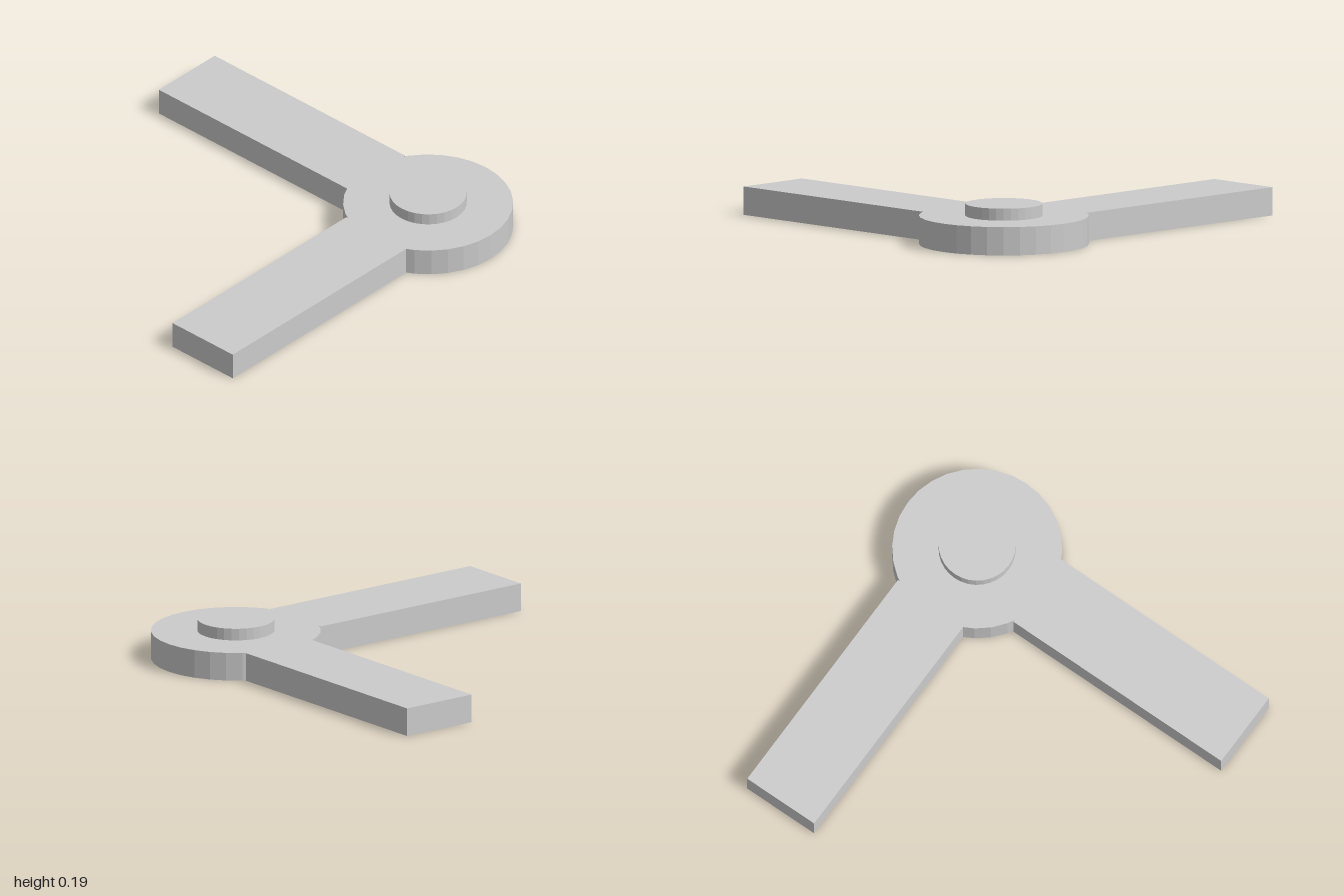
import * as THREE from 'three';

const SEGMENTS = 32;
const HUB = { x: 0.593, z: -0.587, radius: 0.407 };
const KNOB_RADIUS = 0.185;
const DECK = 0.137; // height of arms and hub
const TOP = 0.195; // height of the knob

// Box faces in the order three.js builds them
const FACES = { right: 0, left: 1, top: 2, bottom: 3, front: 4, back: 5 };

// Box shell with the named faces left open
function openBox(min, max, openFaces) {
  const size = max.map((v, i) => v - min[i]);
  const geometry = new THREE.BoxGeometry(...size);
  const open = openFaces.map((name) => FACES[name]);
  const index = Array.from(geometry.index.array);
  geometry.setIndex(index.filter((_, i) => !open.includes(Math.floor(i / 6))));
  geometry.clearGroups();
  geometry.translate(...min.map((v, i) => v + size[i] / 2));
  return geometry;
}

export function createModel() {
  const group = new THREE.Group();
  const material = new THREE.MeshStandardMaterial({
    color: 0xcccccc, flatShading: true, side: THREE.DoubleSide,
  });

  function add(name, geometry, x = 0, y = 0, z = 0) {
    const mesh = new THREE.Mesh(geometry, material);
    mesh.name = name;
    mesh.position.set(x, y, z);
    group.add(mesh);
  }

  // Round wall, open at both ends
  function addWall(name, radius, bottom, top) {
    const height = top - bottom;
    const wall = new THREE.CylinderGeometry(radius, radius, height, SEGMENTS, 1, true);
    add(name, wall, HUB.x, bottom + height / 2, HUB.z);
  }

  // Hub: thin wall and a deck with an opening below the knob
  addWall('hubWall', HUB.radius, 0, DECK);
  const deck = new THREE.RingGeometry(KNOB_RADIUS, HUB.radius, SEGMENTS).rotateX(-Math.PI / 2);
  add('hubDeck', deck, HUB.x, DECK, HUB.z);

  // Knob: hollow raised cap
  addWall('knobWall', KNOB_RADIUS, DECK, TOP);
  const cap = new THREE.CircleGeometry(KNOB_RADIUS, SEGMENTS).rotateX(-Math.PI / 2);
  add('knobCap', cap, HUB.x, TOP, HUB.z);

  // Arms: channels open underneath and towards the hub
  add('sideArm', openBox([-1, 0, -0.803], [0.243, DECK, -0.41], ['bottom', 'right']));
  add('frontArm', openBox([0.39, 0, -0.23], [0.782, DECK, 0.992], ['bottom', 'back']));

  return group;
}
